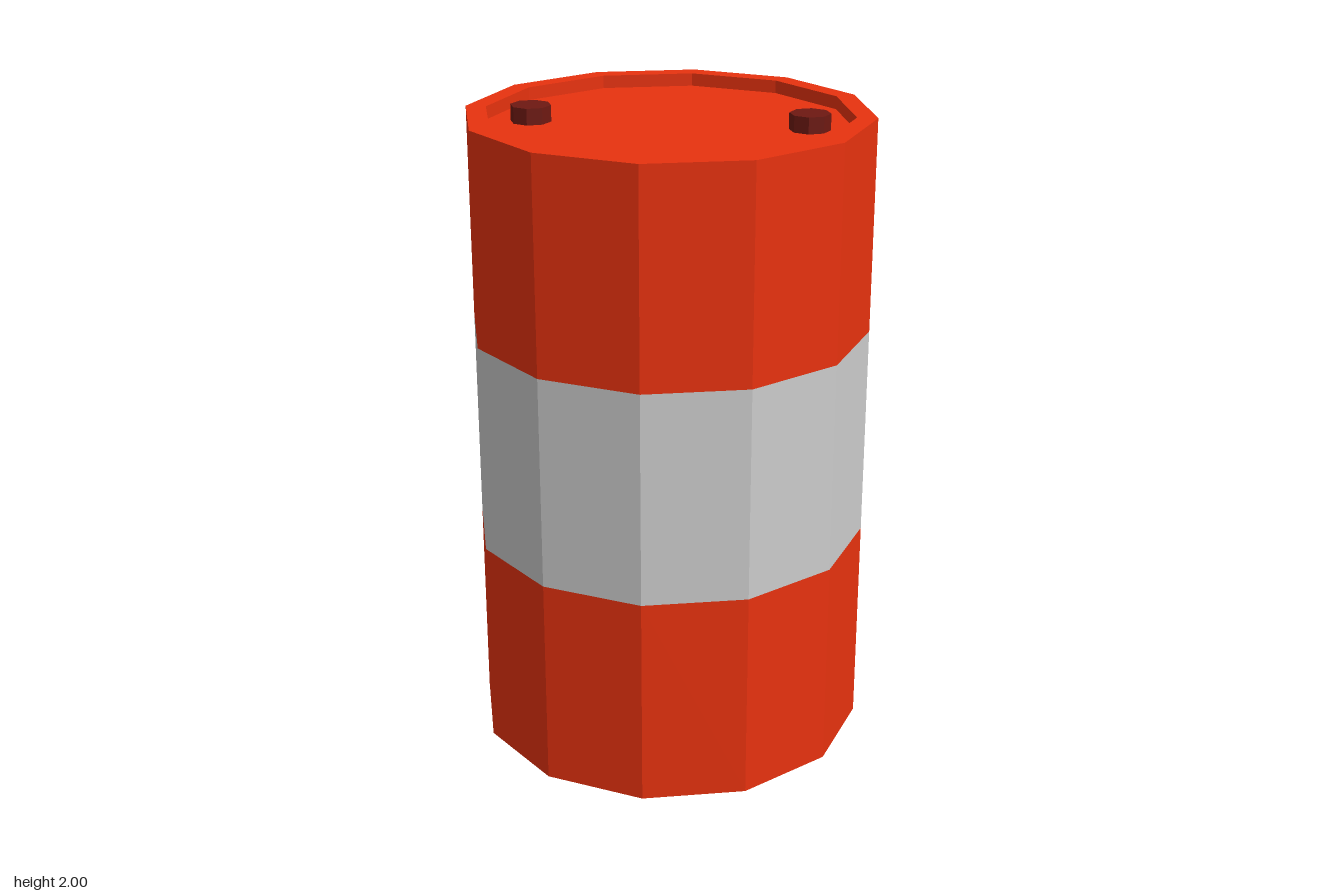
import * as THREE from 'three';

const SIDES = 12;
const R = 0.617, RIM = 0.555;          // outer wall and inner rim radius
const TOP = 1.99, LID = 1.95;          // rim height and sunken lid height
const BAND_LOW = 0.665, BAND_HIGH = 1.33;

const paint = (color) => new THREE.MeshStandardMaterial({ color, flatShading: true });

export function createModel() {
  const drum = new THREE.Group();
  drum.name = 'drum';
  const red = paint(0xe8320f), grey = paint(0xcccccc), dark = paint(0x6e1912);

  // Faceted ring of the drum, turned from a profile running upwards
  const turn = (name, profile, material) => {
    const points = profile.map(([x, y]) => new THREE.Vector2(x, y));
    const mesh = new THREE.Mesh(new THREE.LatheGeometry(points, SIDES), material);
    mesh.name = name;
    drum.add(mesh);
  };

  // Lower wall with the closed bottom
  turn('lowerBody', [[0, 0], [R, 0], [R, BAND_LOW]], red);
  // Middle band
  turn('middleBand', [[R, BAND_LOW], [R, BAND_HIGH]], grey);
  // Upper wall, raised rim and sunken lid
  turn('upperBody', [[R, BAND_HIGH], [R, TOP], [RIM, TOP], [RIM, LID], [0, LID]], red);

  // Two bung caps on the lid
  const capHeight = 2 - LID;
  for (const side of [-1, 1]) {
    const cap = new THREE.Mesh(new THREE.CylinderGeometry(0.062, 0.062, capHeight, 8), dark);
    cap.position.set(side * 0.418, LID + capHeight / 2, 0);
    cap.name = side > 0 ? 'leftCap' : 'rightCap';
    drum.add(cap);
  }
  return drum;
}
